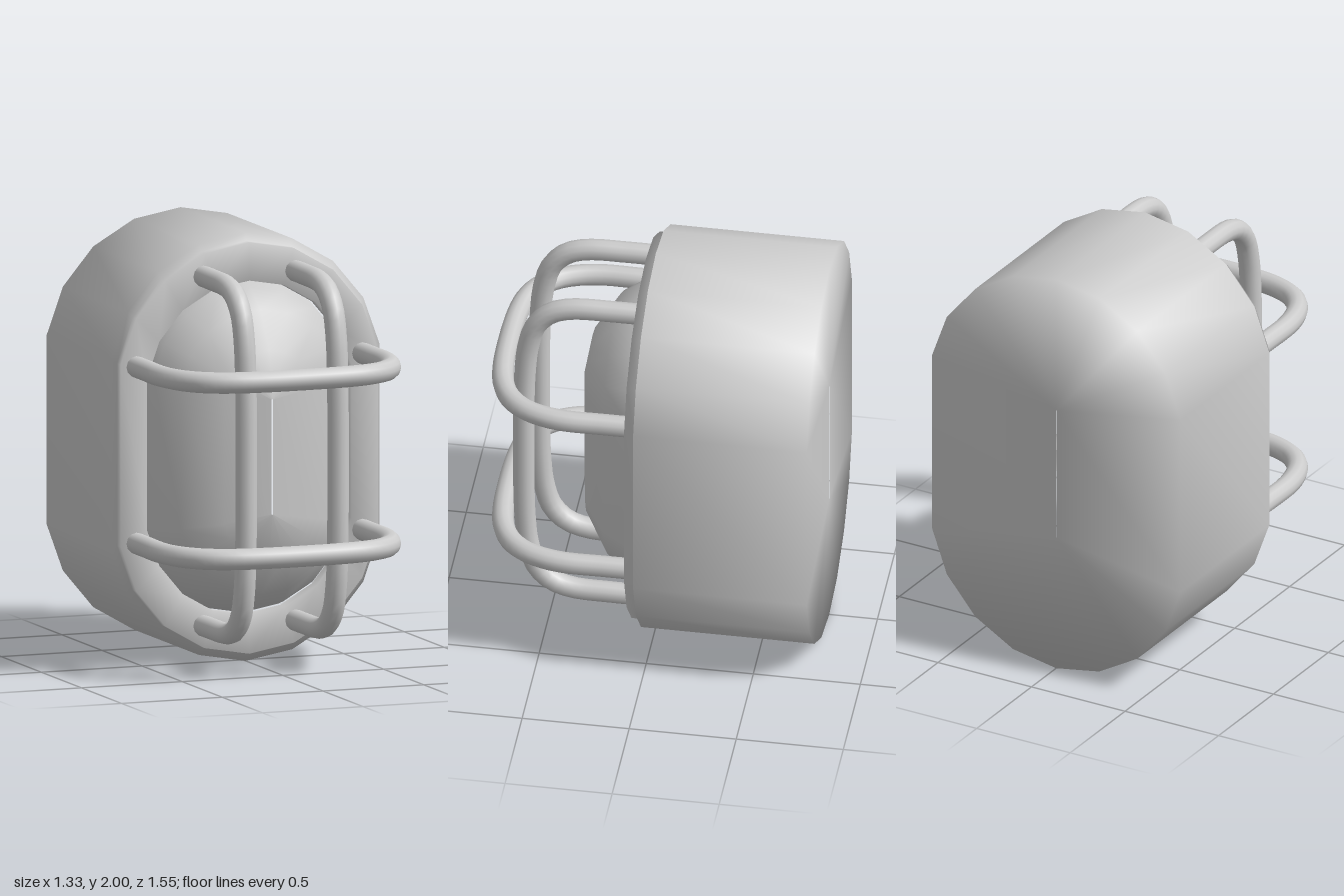
import * as THREE from 'three';

const MID = 1; // height of the lamp's centre

// Stadium outline: two faceted arcs of radius r, centred c above and below the middle
function stadium(r, c, z) {
  const points = [];
  for (const half of [1, -1]) {
    for (let deg = 80; deg >= -80; deg -= 20) {
      const a = THREE.MathUtils.degToRad(deg);
      points.push([half * r * Math.sin(a), MID + half * (c + r * Math.cos(a)), z]);
    }
  }
  return points; // counter-clockwise seen from the front
}

// Smooth skin through stadium rings ordered from back to front
function loft(rings) {
  const n = rings[0].length;
  const index = [];
  for (let k = 0; k < rings.length - 1; k++) {
    for (let i = 0; i < n; i++) {
      const j = (i + 1) % n;
      const a = k * n + i, b = k * n + j, c = a + n, d = b + n;
      index.push(a, b, d, a, d, c);
    }
  }
  const geometry = new THREE.BufferGeometry();
  geometry.setAttribute('position', new THREE.Float32BufferAttribute(rings.flat(2), 3));
  geometry.setIndex(index);
  geometry.computeVertexNormals();
  return geometry;
}

export function createModel() {
  const group = new THREE.Group();
  const material = new THREE.MeshStandardMaterial({ color: 0xcccccc });
  const add = (name, geometry) => {
    const mesh = new THREE.Mesh(geometry, material);
    mesh.name = name;
    group.add(mesh);
  };

  // Housing: closed back, deep wall, stepped flange and shallow recess
  add('housing', loft([
    stadium(0.001, 0.325, -0.775),
    stadium(0.675, 0.325, -0.775),
    stadium(0.675, 0.325, 0.035),
    stadium(0.648, 0.312, 0.035),
    stadium(0.648, 0.312, 0.082),
    stadium(0.515, 0.267, 0.082),
    stadium(0.512, 0.267, 0.03),
  ]));

  // Domed glass, narrowing to a ridge
  add('glassDome', loft([
    stadium(0.512, 0.267, 0.0),
    stadium(0.487, 0.267, 0.085),
    stadium(0.4, 0.267, 0.22),
    stadium(0.225, 0.267, 0.33),
    stadium(0.003, 0.267, 0.368),
  ]));

  // Guard bars: half profiles as [distance from middle, z], mirrored into a bow
  const bar = (name, half, place) => {
    const mirrored = half.slice(0, -1).reverse().map(([u, z]) => [-u, z]);
    const path = new THREE.CatmullRomCurve3([...half, ...mirrored].map(([u, z]) => place(u, z)));
    add(name, new THREE.TubeGeometry(path, 56, 0.05, 12, false));
  };
  const upright = [[0.815, 0], [0.815, 0.2], [0.808, 0.39], [0.775, 0.485],
    [0.70, 0.555], [0.58, 0.592], [0.4, 0.61], [0, 0.615]];
  const cross = [[0.56, 0], [0.56, 0.2], [0.56, 0.37], [0.54, 0.48], [0.50, 0.57],
    [0.43, 0.645], [0.33, 0.692], [0.2, 0.715], [0, 0.722]];
  for (const [side, s] of [['left', 1], ['right', -1]]) {
    bar(side + 'GuardBar', upright, (u, z) => new THREE.Vector3(s * 0.228, MID + u, z));
  }
  for (const [level, s] of [['upper', 1], ['lower', -1]]) {
    bar(level + 'GuardBar', cross, (u, z) => new THREE.Vector3(u, MID + s * 0.412, z));
  }
  return group;
}
